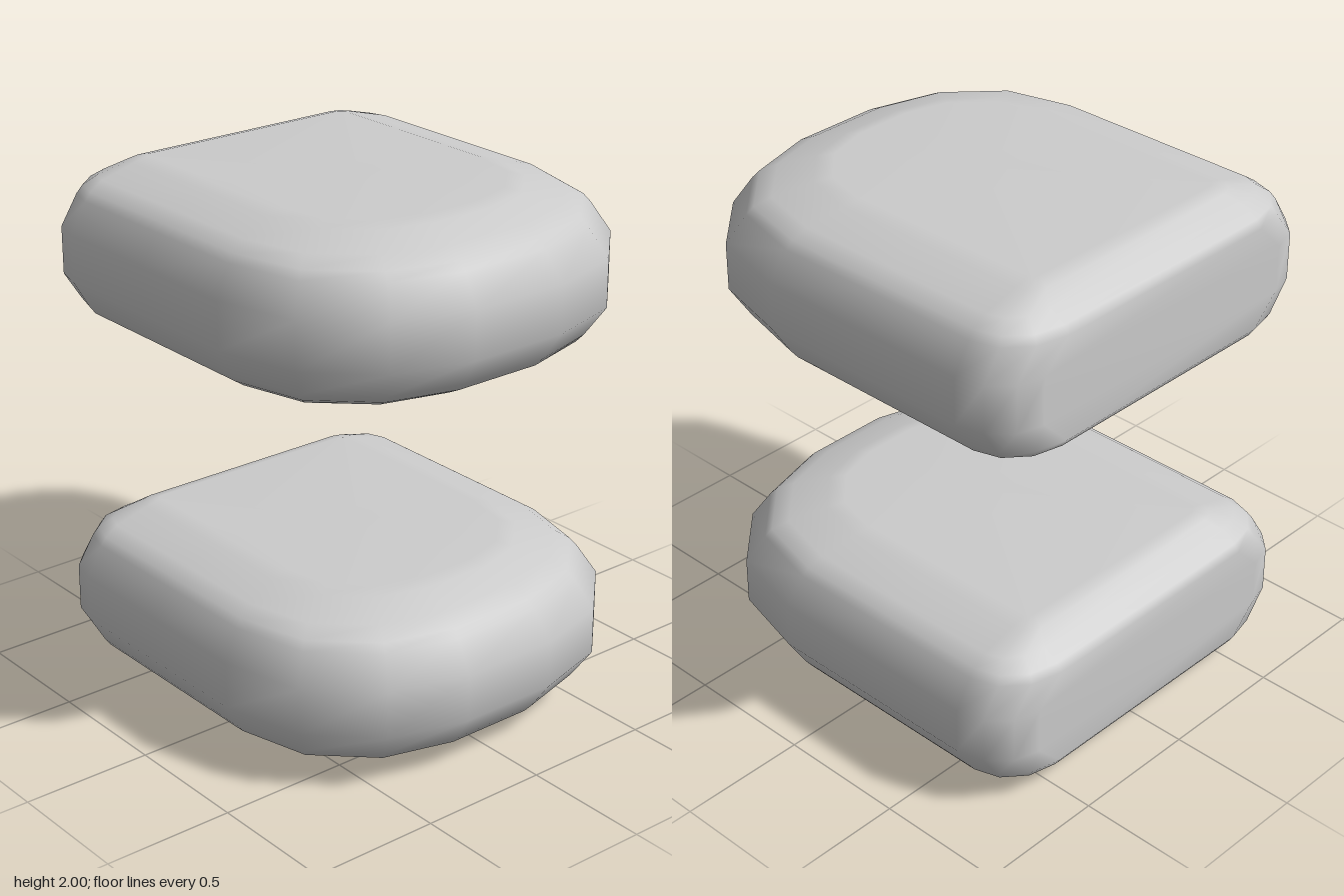
import * as THREE from 'three';

const HALF = 0.3175; // half the thickness of one cushion

// Levels from mid-height up: [height, half width, front z, back depth, half width of back edge]
const LEVELS = [
  [0.09, 0.8, 0.85, 0.85, 0.6],
  [0.2, 0.735, 0.775, 0.85, 0.49],
  [0.23, 0.712, 0.748, 0.83, 0.49],
  [0.265, 0.66, 0.68, 0.77, 0.49],
  [0.303, 0.52, 0.56, 0.715, 0.45],
  [HALF, 0.46, 0.5, 0.66, 0.43],
];

// Rounded front, as fractions of the half width and front depth
const FRONT = [[0.245, 1], [0.62, 0.9], [0.9, 0.645], [1, 0.275]];

// Plan outline of one level, running front, left, back, right
function outline([, w, f, b, bw]) {
  const half = FRONT.map(([x, z]) => [x * w, z * f]);
  half.push([w, -0.2]);
  for (let i = 0; i < 4; i++) {
    const a = (i / 3) * Math.PI / 2;
    half.push([bw + (w - bw) * Math.cos(a), -0.64 - (b - 0.64) * Math.sin(a)]);
  }
  return [...half, ...half.slice().reverse().map(([x, z]) => [-x, z])];
}

// Stack the outlines, mirrored about mid-height, and close with fans
function cushionGeometry() {
  const mirrored = LEVELS.slice().reverse().map(([h, ...rest]) => [-h, ...rest]);
  const levels = [...mirrored, ...LEVELS];
  const pos = [], idx = [];
  let n = 0;
  for (const level of levels) {
    const ring = outline(level);
    n = ring.length;
    for (const [x, z] of ring) pos.push(x, level[0], z);
  }
  const bottom = pos.length / 3, top = bottom + 1;
  pos.push(0, -HALF, 0, 0, HALF, 0);
  const last = (levels.length - 1) * n;
  for (let j = 0; j < n; j++) {
    const k = (j + 1) % n;
    for (let r = 0; r < last; r += n) {
      idx.push(r + j, r + k, r + n + k, r + j, r + n + k, r + n + j);
    }
    idx.push(bottom, k, j, top, last + j, last + k);
  }
  const geo = new THREE.BufferGeometry();
  geo.setAttribute('position', new THREE.Float32BufferAttribute(pos, 3));
  geo.setIndex(idx);
  geo.computeVertexNormals();
  return geo;
}

export function createModel() {
  const group = new THREE.Group();
  const geo = cushionGeometry();
  const mat = new THREE.MeshStandardMaterial({ color: 0xcccccc });
  // Two identical cushions, one above the other
  for (const [name, y] of [['lowerCushion', HALF], ['upperCushion', 2 - HALF]]) {
    const mesh = new THREE.Mesh(geo, mat);
    mesh.name = name;
    mesh.position.y = y;
    group.add(mesh);
  }
  return group;
}
